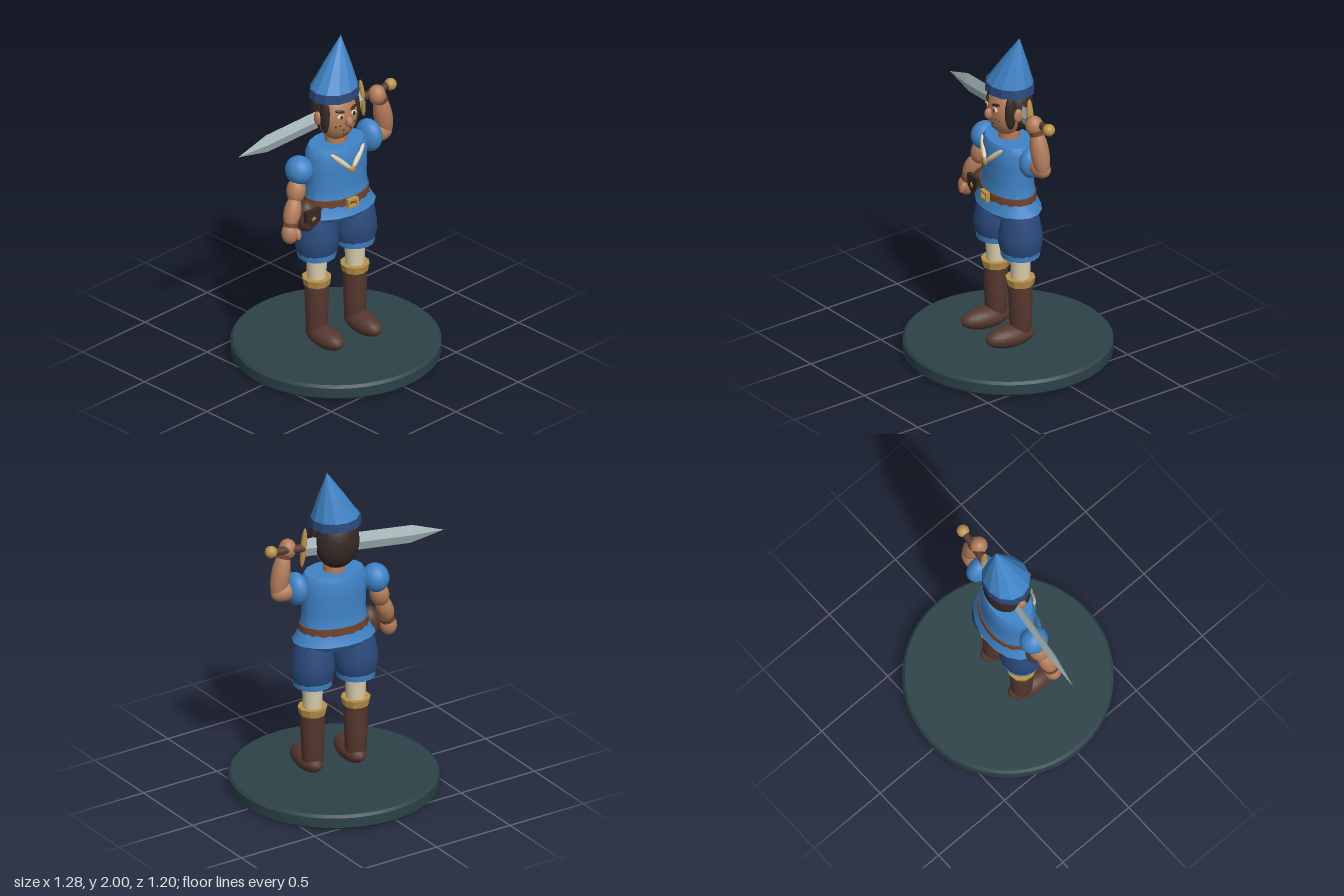
import * as THREE from 'three';
import { toCreasedNormals } from 'three/addons/utils/BufferGeometryUtils.js';

const YAW = -0.14; // the figure turns slightly to its right
const V = (p) => new THREE.Vector3(...p);
const UP = new THREE.Vector3(0, 1, 0);

function material(name, color) {
  const m = new THREE.MeshStandardMaterial({ color });
  m.name = name;
  return m;
}

export function createModel() {
  const blue = material('tunic blue', 0x3f83c6);
  const navy = material('navy cloth', 0x2b4a7c);
  const skin = material('skin', 0xb27c5a);
  const boot = material('boot brown', 0x56382f);
  const leather = material('belt leather', 0x70432e);
  const dark = material('dark hair', 0x352823);
  const cream = material('cream', 0xd8ccaa);
  const gold = material('gold', 0xb9924a);
  const steel = material('steel', 0xa9babd);
  const stone = material('base green', 0x2c4248);

  const model = new THREE.Group();
  model.name = 'swordsman';

  function add(parent, name, geometry, mat, pos = [0, 0, 0]) {
    const mesh = new THREE.Mesh(geometry, mat);
    mesh.name = name;
    mesh.position.set(...pos);
    parent.add(mesh);
    return mesh;
  }
  function ball(parent, name, mat, pos, radii, seg = 20) {
    const m = add(parent, name, new THREE.SphereGeometry(1, seg, 14), mat, pos);
    m.scale.set(...radii);
    return m;
  }
  // Stretched ball whose ends lie at a and b
  function limb(parent, name, mat, a, b, r) {
    const d = V(b).sub(V(a));
    const mid = V(a).addScaledVector(d, 0.5).toArray();
    const m = ball(parent, name, mat, mid, [r, d.length() / 2, r], 16);
    m.quaternion.setFromUnitVectors(UP, d.normalize());
    return m;
  }
  // Cylinder from a to b
  function rod(parent, name, mat, a, b, ra, rb, seg = 14) {
    const d = V(b).sub(V(a));
    const mid = V(a).addScaledVector(d, 0.5).toArray();
    const m = add(parent, name, new THREE.CylinderGeometry(rb, ra, d.length(), seg), mat, mid);
    m.quaternion.setFromUnitVectors(UP, d.normalize());
    return m;
  }
  // Turned profile, listed bottom to top, with oval depth
  function turned(profile, seg, depth = 1, crease = 0.6) {
    const g = new THREE.LatheGeometry(profile.map((p) => new THREE.Vector2(...p)), seg);
    g.scale(1, 1, depth);
    return toCreasedNormals(g, crease);
  }
  function group(name, pos, yaw = 0) {
    const g = new THREE.Group();
    g.name = name;
    g.position.set(...pos);
    g.rotation.y = yaw;
    model.add(g);
    return g;
  }

  // Round base
  add(model, 'base', turned([[0, 0], [0.585, 0], [0.6, 0.015], [0.6, 0.075], [0.585, 0.09], [0, 0.09]], 64), stone, [0.035, 0, 0]);

  // Legs
  for (const [side, x, z] of [['left', 0.171, 0.015], ['right', -0.102, -0.018]]) {
    const leg = group(side + 'Leg', [x, 0, z], YAW);
    ball(leg, 'foot', boot, [0.004, 0.166, 0.07], [0.073, 0.065, 0.155]);
    add(leg, 'bootShaft', turned([[0, 0.13], [0.05, 0.14], [0.062, 0.19], [0.066, 0.3], [0.072, 0.49], [0, 0.49]], 16), boot);
    add(leg, 'bootCuff', turned([[0, 0.48], [0.077, 0.48], [0.086, 0.525], [0, 0.525]], 10, 1, 0.3), gold);
    add(leg, 'stocking', new THREE.CylinderGeometry(0.061, 0.056, 0.2, 16), cream, [0, 0.61, 0]);
    add(leg, 'shortsTrim', turned([[0, 0.665], [0.112, 0.665], [0.116, 0.702], [0, 0.702]], 14), blue);
    add(leg, 'shorts', turned([[0, 0.697], [0.116, 0.697], [0.13, 0.75], [0.129, 0.8], [0.115, 0.88], [0.095, 0.96], [0, 0.96]], 16, 0.98), navy);
  }

  // Tunic, belt and necklace
  const torso = group('torso', [0.037, 0, 0], YAW);
  add(torso, 'tunic', turned([[0, 0.9], [0.19, 0.9], [0.253, 0.945], [0.205, 1.02], [0.193, 1.12], [0.196, 1.22],
    [0.2, 1.32], [0.178, 1.36], [0, 1.365]], 16, 0.67), blue);
  add(torso, 'belt', turned([[0.19, 0.993], [0.212, 0.993], [0.209, 1.047], [0.19, 1.047]], 20, 0.68), leather);
  const frame = new THREE.Shape([[-0.036, -0.028], [0.036, -0.028], [0.036, 0.028], [-0.036, 0.028]].map((p) => new THREE.Vector2(...p)));
  frame.holes.push(new THREE.Path([[-0.022, -0.015], [-0.022, 0.015], [0.022, 0.015], [0.022, -0.015]].map((p) => new THREE.Vector2(...p))));
  add(torso, 'buckle', new THREE.ExtrudeGeometry(frame, { depth: 0.025, bevelEnabled: false }), gold, [0, 1.02, 0.14]);
  for (const s of [-1, 1]) {
    limb(torso, 'necklaceTooth', cream, [s * 0.118, 1.345, 0.105], [s * 0.004, 1.235, 0.15], 0.016);
  }
  ball(torso, 'pendant', gold, [0, 1.236, 0.152], [0.019, 0.023, 0.014]);

  // Head, face and hair
  rod(torso, 'neck', skin, [0, 1.33, -0.005], [0, 1.45, -0.005], 0.065, 0.06);
  const head = group('head', [0.032, 1.54, 0], YAW);
  ball(head, 'face', skin, [0, -0.005, 0.015], [0.122, 0.152, 0.103], 24);
  ball(head, 'hair', dark, [0, 0.01, -0.035], [0.133, 0.16, 0.108], 24);
  ball(head, 'nose', skin, [0, -0.008, 0.124], [0.022, 0.033, 0.026]);
  limb(head, 'mouth', dark, [-0.022, -0.098, 0.094], [0.022, -0.098, 0.094], 0.005);
  for (const s of [-1, 1]) {
    ball(head, 'sideburn', dark, [s * 0.106, 0.02, 0.04], [0.026, 0.105, 0.036]);
    ball(head, 'ear', skin, [s * 0.132, 0.005, 0.005], [0.018, 0.042, 0.028]);
    ball(head, 'eyeWhite', cream, [s * 0.046, 0.028, 0.107], [0.022, 0.015, 0.01]);
    ball(head, 'pupil', dark, [s * 0.045, 0.028, 0.114], [0.01, 0.012, 0.006]);
    limb(head, 'eyebrow', dark, [s * 0.02, 0.055, 0.115], [s * 0.075, 0.066, 0.092], 0.009);
    for (const [x, y, z] of [[0.026, -0.062, 0.11], [0.05, -0.03, 0.107], [0.07, -0.036, 0.097]]) {
      ball(head, 'stubble', dark, [s * x, y, z], [0.005, 0.005, 0.005], 8);
    }
  }

  // Pointed hat, its tip leaning to the left and back
  add(model, 'hatBand', turned([[0, 1.655], [0.155, 1.655], [0.15, 1.708], [0, 1.708]], 12, 0.88, 0.3), navy, [0.033, 0, -0.013]);
  const cone = turned([[0, 1.7], [0.147, 1.7], [0.079, 1.845], [0, 2]], 12, 0.9, 0.1);
  const p = cone.attributes.position;
  for (let i = 0; i < p.count; i++) {
    const t = (p.getY(i) - 1.7) / 0.3;
    p.setXYZ(i, p.getX(i) + t * 0.07, p.getY(i), p.getZ(i) - t * 0.017);
  }
  cone.computeVertexNormals();
  add(model, 'hatCone', cone, blue, [0.033, 0, -0.013]);

  // Right arm, hanging
  const right = group('rightArm', [0, 0, 0]);
  ball(right, 'sleeve', blue, [-0.225, 1.25, -0.035], [0.078, 0.085, 0.085]);
  limb(right, 'upperArm', skin, [-0.235, 1.21, -0.035], [-0.28, 1.06, -0.02], 0.056);
  limb(right, 'forearm', skin, [-0.27, 1.11, -0.02], [-0.345, 0.93, 0.005], 0.05);
  rod(right, 'wristband', leather, [-0.325, 0.963, 0], [-0.334, 0.938, 0.003], 0.043, 0.043);
  limb(right, 'hand', skin, [-0.334, 0.965, 0.003], [-0.348, 0.84, 0.012], 0.05);
  limb(right, 'thumb', skin, [-0.315, 0.935, 0.04], [-0.325, 0.87, 0.062], 0.019);

  // Left arm, raised
  const left = group('leftArm', [0, 0, 0]);
  ball(left, 'sleeve', blue, [0.287, 1.3, 0.012], [0.063, 0.098, 0.09]);
  limb(left, 'upperArm', skin, [0.28, 1.31, 0.015], [0.44, 1.285, 0.03], 0.057);
  limb(left, 'forearm', skin, [0.41, 1.25, 0.03], [0.345, 1.55, 0.038], 0.055);
  rod(left, 'wristband', leather, [0.357, 1.505, 0.036], [0.35, 1.528, 0.037], 0.043, 0.043);
  ball(left, 'hand', skin, [0.327, 1.552, 0.036], [0.05, 0.06, 0.052]);

  // Sword, its local y axis pointing to the tip and x across the blade
  const sword = group('sword', [0.243, 1.55, 0]);
  const along = V([-0.888, -0.085, -0.105]).normalize();
  const across = UP.clone().addScaledVector(along, -UP.dot(along)).normalize();
  sword.quaternion.setFromRotationMatrix(new THREE.Matrix4().makeBasis(across, along, across.clone().cross(along)));
  const bladeShape = new THREE.LatheGeometry([[0, 0], [1, 0], [1, 0.69], [0, 0.898]].map((q) => new THREE.Vector2(...q)), 4);
  bladeShape.scale(0.056, 1, 0.02);
  add(sword, 'blade', toCreasedNormals(bladeShape, 0.05), steel);
  ball(sword, 'guard', gold, [0, 0, 0], [0.122, 0.017, 0.022]);
  rod(sword, 'grip', boot, [0, 0, 0], [0, -0.2, 0], 0.025, 0.022);
  ball(sword, 'pommel', gold, [0, -0.207, 0], [0.036, 0.036, 0.036]);

  // Belt pouch with flap and stud
  const pouch = group('pouch', [-0.203, 0.955, 0], YAW);
  ball(pouch, 'bag', boot, [0, 0.005, 0], [0.065, 0.098, 0.065]);
  const flap = new THREE.Shape([[-0.055, 0.068], [-0.05, -0.005], [0, -0.045], [0.05, -0.005], [0.055, 0.068]].map((q) => new THREE.Vector2(...q)));
  add(pouch, 'flap', new THREE.ExtrudeGeometry(flap, { depth: 0.025, bevelEnabled: false }), dark, [0, 0, 0.045]);
  const star = new THREE.Shape();
  for (let i = 0; i < 10; i++) {
    const r = i % 2 ? 0.007 : 0.017;
    const a = Math.PI / 2 + (i * Math.PI) / 5;
    star[i ? 'lineTo' : 'moveTo'](r * Math.cos(a), r * Math.sin(a));
  }
  add(pouch, 'stud', new THREE.ExtrudeGeometry(star, { depth: 0.006, bevelEnabled: false }), gold, [0, 0.015, 0.069]);

  return model;
}
